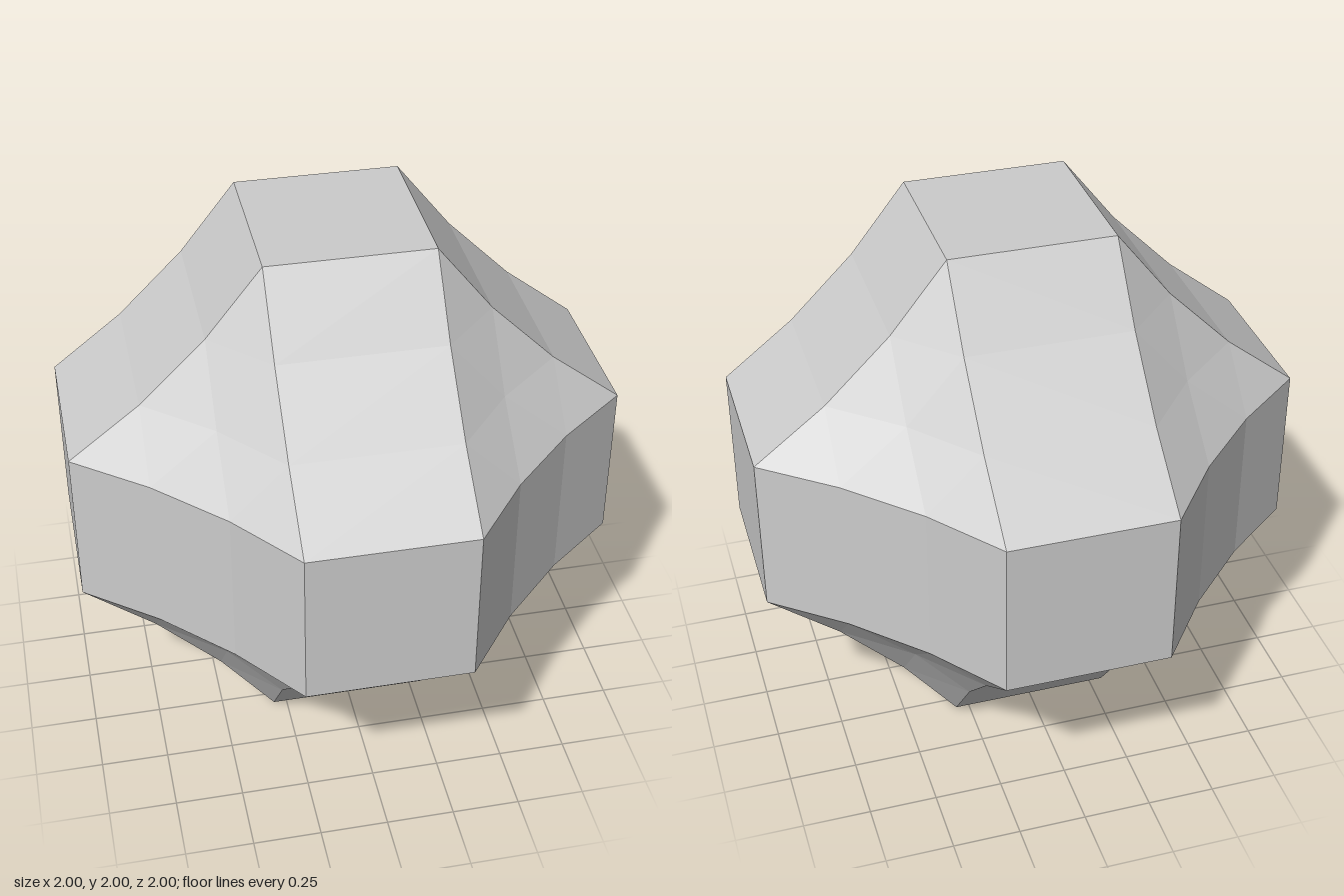
import * as THREE from 'three';

const CORE = 0.3; // half-width of the flat faces
const STEPS = [0, 0.203, 0.441, 0.7]; // offsets along the hollow edge profile
const N = STEPS.length - 1;
const SIGNS = [-1, 1];

// Collects triangles, turning each one to face away from the centre.
function facets() {
  const pos = [];
  const tri = (a, b, c) => {
    const n = b.clone().sub(a).cross(c.clone().sub(a));
    const order = n.dot(a.clone().add(b).add(c)) > 0 ? [a, b, c] : [a, c, b];
    order.forEach((p) => pos.push(p.x, p.y, p.z));
  };
  const quad = (a, b, c, d) => { tri(a, b, c); tri(a, c, d); };
  return { pos, tri, quad };
}

// Point whose coordinate on the given axis is first, the other two follow in turn.
function point(axis, first, second, third) {
  const p = new THREE.Vector3();
  p.setComponent(axis, first);
  p.setComponent((axis + 1) % 3, second);
  p.setComponent((axis + 2) % 3, third);
  return p;
}

function makeMesh(name, pos) {
  const geometry = new THREE.BufferGeometry();
  geometry.setAttribute('position', new THREE.Float32BufferAttribute(pos, 3));
  geometry.computeVertexNormals();
  const mesh = new THREE.Mesh(geometry, new THREE.MeshStandardMaterial({ color: 0xcccccc, flatShading: true }));
  mesh.name = name;
  return mesh;
}

export function createModel() {
  const group = new THREE.Group();
  group.name = 'hollowEdgedSolid';
  const squares = facets(), strips = facets(), corners = facets();

  for (let axis = 0; axis < 3; axis++) {
    // Flat square at each end of the axis
    for (const s of SIGNS) {
      squares.quad(
        point(axis, s, -CORE, -CORE), point(axis, s, CORE, -CORE),
        point(axis, s, CORE, CORE), point(axis, s, -CORE, CORE));
    }
    // Four hollow strips running along the axis
    for (const s of SIGNS) for (const t of SIGNS) {
      const at = (k, i) => point(axis, k * CORE, s * (CORE + STEPS[i]), t * (CORE + STEPS[N - i]));
      for (let i = 0; i < N; i++) strips.quad(at(-1, i), at(-1, i + 1), at(1, i + 1), at(1, i));
    }
  }

  // Eight hollow three-sided corner patches on a triangular grid
  for (const sx of SIGNS) for (const sy of SIGNS) for (const sz of SIGNS) {
    const at = (i, j) => new THREE.Vector3(
      sx * (CORE + STEPS[i]), sy * (CORE + STEPS[j]), sz * (CORE + STEPS[N - i - j]));
    for (let i = 0; i < N; i++) for (let j = 0; j < N - i; j++) {
      corners.tri(at(i, j), at(i + 1, j), at(i, j + 1));
      if (i + j < N - 1) corners.tri(at(i + 1, j), at(i + 1, j + 1), at(i, j + 1));
    }
  }

  group.add(
    makeMesh('squareFaces', squares.pos),
    makeMesh('edgeStrips', strips.pos),
    makeMesh('cornerPatches', corners.pos));
  group.children.forEach((mesh) => { mesh.position.y = 1; });
  return group;
}
